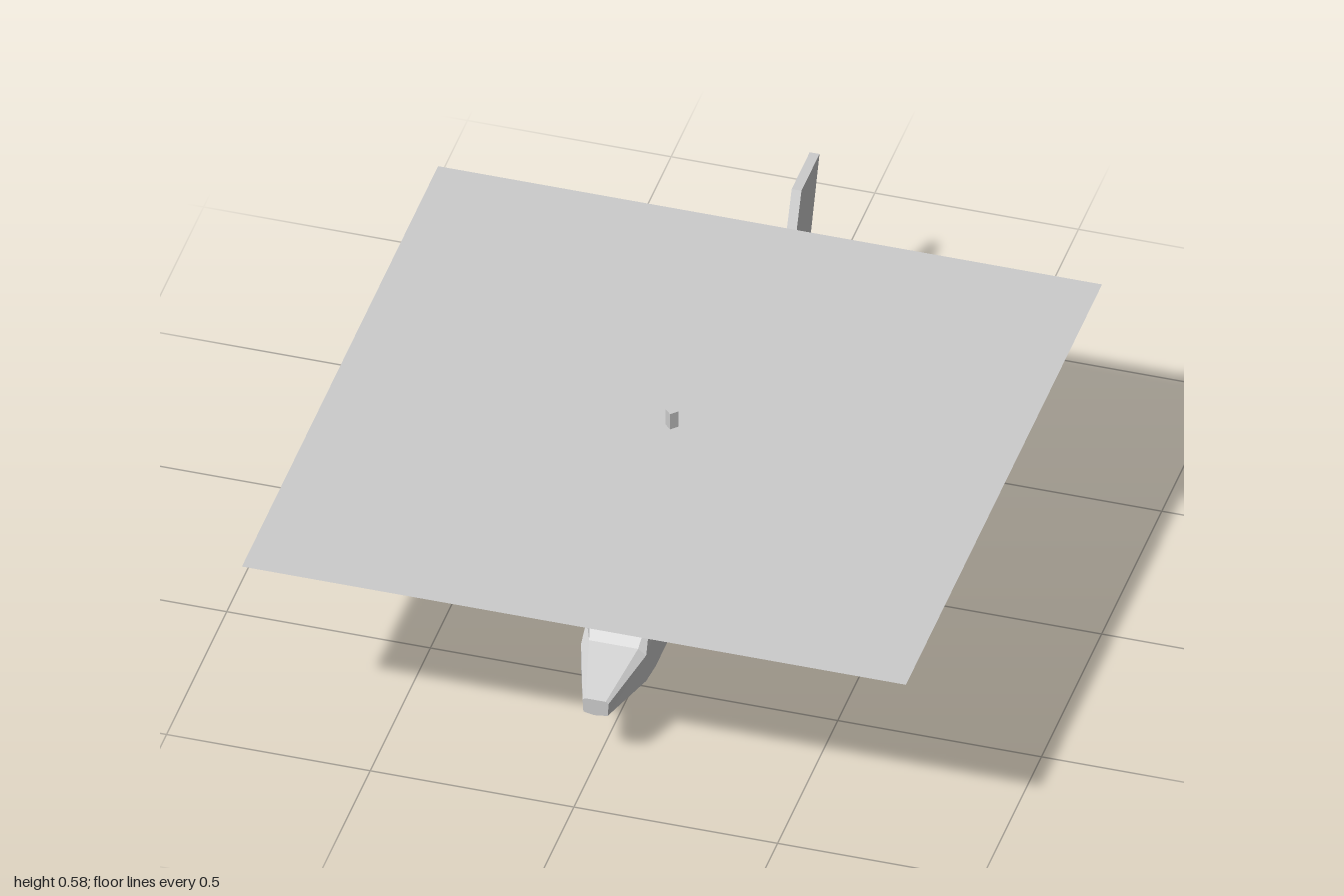
import * as THREE from 'three';

const material = new THREE.MeshStandardMaterial({ color: 0xcccccc, flatShading: true });
const thinMaterial = new THREE.MeshStandardMaterial({ color: 0xcccccc, flatShading: true, side: THREE.DoubleSide });

// Closed solid through matching rings of [x, y, z] points, turned outward by its volume sign
function loft(rings) {
  const n = rings[0].length;
  const tris = [];
  for (let i = 0; i < rings.length - 1; i++) {
    for (let j = 0; j < n; j++) {
      const k = (j + 1) % n;
      const [a, b, c, d] = [rings[i][j], rings[i][k], rings[i + 1][k], rings[i + 1][j]];
      tris.push([a, b, c], [a, c, d]);
    }
  }
  const first = rings[0], last = rings[rings.length - 1];
  for (let j = 1; j < n - 1; j++) {
    tris.push([first[0], first[j + 1], first[j]], [last[0], last[j], last[j + 1]]);
  }
  let volume = 0;
  const o = new THREE.Vector3(...first[0]);
  for (const t of tris) {
    const [a, b, c] = t.map(p => new THREE.Vector3(...p).sub(o));
    volume += a.dot(b.cross(c));
  }
  if (volume < 0) tris.forEach(t => t.reverse());
  const geo = new THREE.BufferGeometry();
  geo.setAttribute('position', new THREE.Float32BufferAttribute(tris.flat(2), 3));
  geo.computeVertexNormals();
  return geo;
}

export function createModel() {
  const model = new THREE.Group();
  model.name = 'helicopter';
  const add = (name, geo, mat = material) => {
    const mesh = new THREE.Mesh(geo, mat);
    mesh.name = name;
    model.add(mesh);
    return mesh;
  };

  // Fuselage: z, keel y, chine half-width and y, shoulder half-width and y, top half-width and y
  const sections = [
    [0.82, 0.14, 0.03, 0.145, 0.032, 0.18, 0.025, 0.185],
    [0.67, 0.09, 0.08, 0.15, 0.08, 0.225, 0.06, 0.24],
    [0.61, 0.09, 0.085, 0.15, 0.084, 0.25, 0.075, 0.325],
    [0.50, 0.09, 0.085, 0.15, 0.085, 0.25, 0.078, 0.34],
    [0.43, 0.09, 0.085, 0.15, 0.085, 0.25, 0.077, 0.415],
    [0.32, 0.09, 0.085, 0.15, 0.085, 0.28, 0.077, 0.42],
    [0.265, 0.09, 0.085, 0.15, 0.082, 0.38, 0.062, 0.49],
    [0, 0.09, 0.085, 0.15, 0.082, 0.38, 0.062, 0.49],
    [-0.06, 0.093, 0.085, 0.15, 0.08, 0.38, 0.065, 0.415],
    [-0.18, 0.1, 0.082, 0.152, 0.07, 0.355, 0.055, 0.365],
    [-0.41, 0.117, 0.068, 0.154, 0.055, 0.23, 0.025, 0.265],
    [-0.74, 0.14, 0.042, 0.158, 0.032, 0.22, 0.015, 0.24],
    [-0.88, 0.15, 0.024, 0.16, 0.016, 0.195, 0.01, 0.2],
  ];
  add('fuselage', loft(sections.map(([z, ky, cw, cy, sw, sy, tw, ty]) => {
    const kw = cw * 0.18;
    return [[kw, ky, z], [cw, cy, z], [sw, sy, z], [tw, ty, z],
      [-tw, ty, z], [-sw, sy, z], [-cw, cy, z], [-kw, ky, z]];
  })));

  // Tail fin, swept back
  const fin = [[-0.735, 0.225], [-0.85, 0.48], [-1, 0.48], [-0.885, 0.19]];
  add('tailFin', loft([-0.012, 0.012].map(x => fin.map(([z, y]) => [x, y, z]))));

  // Horizontal stabiliser, sloping down to the rear
  const plan = [[-0.205, -0.845], [0.205, -0.845], [0.205, -0.92], [0, -0.957], [-0.205, -0.92]];
  const slope = z => 0.255 + (z + 0.845) * 0.78;
  add('stabiliser', loft([-0.008, 0.008].map(d => plan.map(([x, z]) => [x, slope(z) + d, z + d * 0.6]))));

  // Rotor disc and mast
  const disc = add('rotorDisc', new THREE.PlaneGeometry(1.63, 1.63).rotateX(-Math.PI / 2), thinMaterial);
  disc.position.set(0, 0.535, 0.185);
  const mast = add('rotorMast', new THREE.CylinderGeometry(0.016, 0.016, 0.12, 4));
  mast.position.set(0, 0.52, 0.185);

  // Paired parts
  for (const s of [1, -1]) {
    const side = s > 0 ? 'left' : 'right';

    // Engine pod with a bevelled intake
    const pod = [[0.18, 0.11, 0.165, 0.315, 0.385], [0.13, 0.09, 0.19, 0.287, 0.415], [-0.18, 0.09, 0.19, 0.287, 0.415]];
    add(side + 'Engine', loft(pod.map(([z, x0, x1, y0, y1]) =>
      [[s * x0, y0, z], [s * x1, y0, z], [s * x1, y1, z], [s * x0, y1, z]])));
    // Engine mount to the cabin
    const mount = add(side + 'EngineMount', new THREE.BoxGeometry(0.04, 0.07, 0.22));
    mount.position.set(s * 0.08, 0.345, 0);

    // Stub wing with a drooping tip: x, drop
    const foil = [[0.185, 0.275], [0.04, 0.26], [0.04, 0.238], [0.13, 0.238], [0.185, 0.25]];
    add(side + 'Wing', loft([[0.07, 0], [0.25, 0], [0.345, 0.033]].map(([x, drop]) =>
      foil.map(([z, y]) => [s * (x - (0.275 - y) * (drop ? 0.3 : 0)), y - drop, z]))));

    // Pylon and weapon pod
    const pylon = add(side + 'Pylon', new THREE.BoxGeometry(0.024, 0.06, 0.065));
    pylon.position.set(s * 0.305, 0.205, 0.125);
    const store = add(side + 'Store', new THREE.CylinderGeometry(0.029, 0.029, 0.2, 5).rotateX(-Math.PI / 2));
    store.rotation.z = 0;
    store.position.set(s * 0.305, 0.157, 0.12);

    // Landing leg and wheel
    const top = new THREE.Vector3(s * 0.072, 0.15, 0.35);
    const foot = new THREE.Vector3(s * 0.12, 0.03, 0.285);
    const leg = add(side + 'Leg', new THREE.CylinderGeometry(0.013, 0.013, top.distanceTo(foot), 4));
    leg.position.copy(top).add(foot).multiplyScalar(0.5);
    leg.quaternion.setFromUnitVectors(new THREE.Vector3(0, 1, 0), top.clone().sub(foot).normalize());
    const wheel = add(side + 'Wheel', new THREE.CylinderGeometry(0.037, 0.037, 0.024, 5).rotateZ(Math.PI / 2));
    wheel.rotation.x = 0.12;
    wheel.position.set(s * 0.127, 0.036, 0.288);
  }

  // Tail wheel and its short strut
  const tailWheel = add('tailWheel', new THREE.BoxGeometry(0.034, 0.062, 0.062));
  tailWheel.rotation.x = 0.75;
  tailWheel.position.set(0, 0.1, -0.888);
  const strut = add('tailStrut', new THREE.BoxGeometry(0.024, 0.05, 0.025));
  strut.rotation.x = 0.65;
  strut.position.set(0, 0.14, -0.868);

  return model;
}
